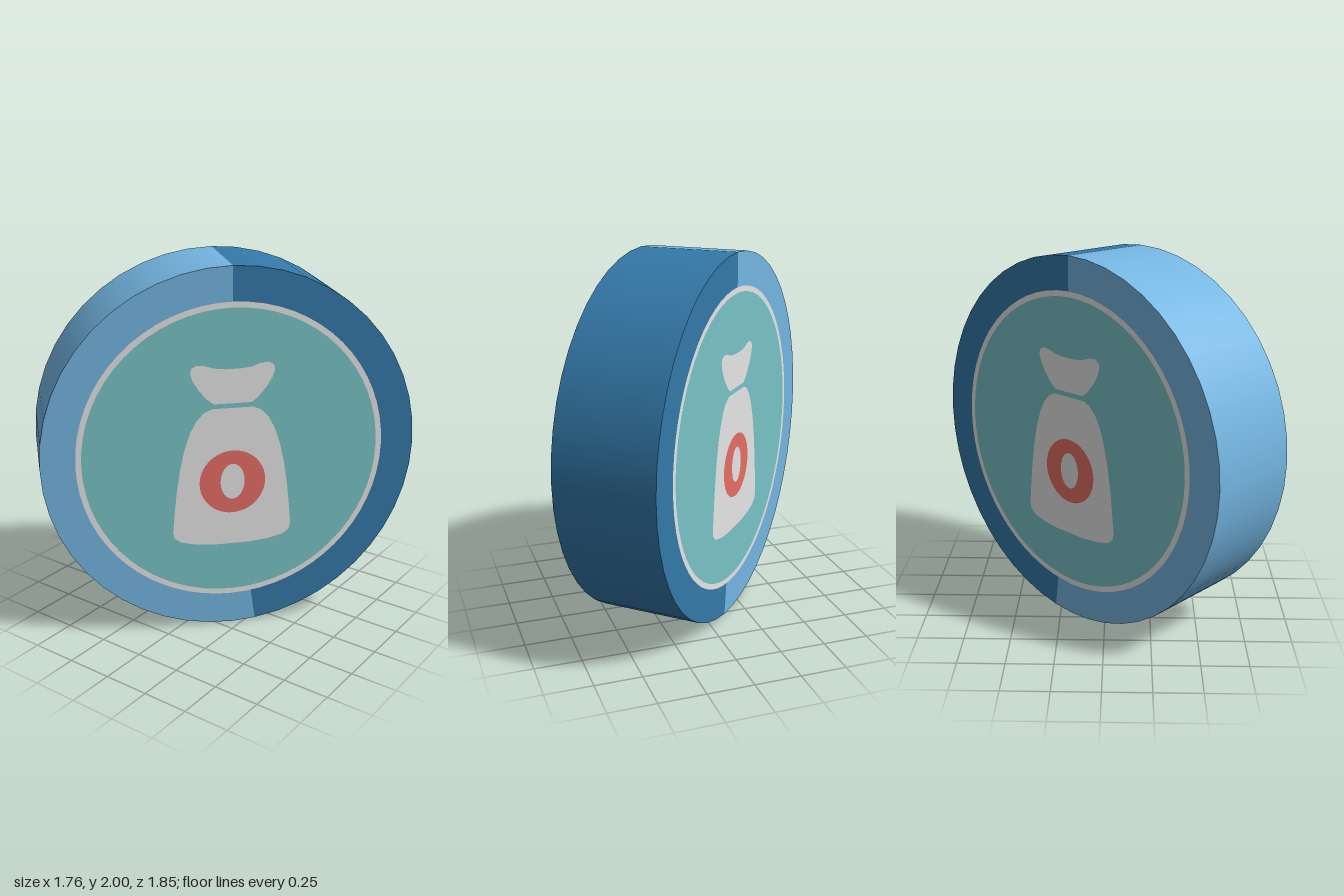
import * as THREE from 'three';

const flat = (name, color) => new THREE.MeshStandardMaterial({ name, color });

export function createModel() {
  const lightBlue = flat('light blue', 0x74b6e2);
  const darkBlue = flat('dark blue', 0x3379a9);
  const teal = flat('teal', 0x79c3c6);
  const white = flat('off white', 0xe6e6e6);
  const red = flat('red', 0xe66e64);

  const RADIUS = 1, DEPTH = 0.55, SIDES = 48;
  const STEP = (Math.PI * 2) / SIDES;

  const token = new THREE.Group();
  token.name = 'token';

  const add = (parent, name, geometry, material, z = 0) => {
    const mesh = new THREE.Mesh(geometry, material);
    mesh.name = name;
    mesh.position.z = z;
    parent.add(mesh);
  };

  // Two-tone body: sectors measured from the bottom, the light one a step wider
  const sector = (first, count) => new THREE.CylinderGeometry(
    RADIUS, RADIUS, DEPTH, count, 1, false, first * STEP, count * STEP).rotateX(Math.PI / 2);
  add(token, 'darkHalf', sector(1, 23), darkBlue);
  add(token, 'lightHalf', sector(24, 25), lightBlue);

  // Symmetric outline from a right-hand half profile, top to bottom
  const mirrored = (half) => {
    const points = half.map(([x, y]) => new THREE.Vector2(x, y));
    const left = half.slice().reverse().map(([x, y]) => new THREE.Vector2(-x, y));
    return new THREE.ShapeGeometry(new THREE.Shape([...points, ...left]));
  };

  // Gathered top of the sack
  const sackTop = mirrored([
    [0.04, 0.473], [0.1, 0.48], [0.15, 0.497], [0.19, 0.5], [0.215, 0.485],
    [0.222, 0.46], [0.21, 0.42], [0.18, 0.37], [0.14, 0.32], [0.1, 0.288],
  ]);

  // Sack with sloping shoulders and a rounded base
  const sackBody = mirrored([
    [0.11, 0.263], [0.15, 0.245], [0.19, 0.205], [0.225, 0.14], [0.255, 0.05],
    [0.28, -0.06], [0.3, -0.19], [0.314, -0.32], [0.323, -0.42], [0.315, -0.455],
    [0.28, -0.482], [0.2, -0.502], [0.1, -0.512],
  ]);

  // Painted faces, the same on both sides
  for (const [name, turn] of [['frontFace', 0], ['backFace', Math.PI]]) {
    const face = new THREE.Group();
    face.name = name;
    face.rotation.y = turn;
    const z = DEPTH / 2;
    add(face, 'border', new THREE.RingGeometry(0.79, 0.82, 64), white, z + 0.002);
    add(face, 'field', new THREE.CircleGeometry(0.79, 64), teal, z + 0.002);
    add(face, 'sackTop', sackTop, white, z + 0.004);
    add(face, 'sackBody', sackBody, white, z + 0.004);
    add(face, 'badge', new THREE.CircleGeometry(0.178, 40).translate(0, -0.15, 0), red, z + 0.006);
    add(face, 'badgeMark',
      new THREE.CircleGeometry(1, 32).scale(0.065, 0.1, 1).translate(0, -0.147, 0), white, z + 0.008);
    token.add(face);
  }

  // Stand the token on its rim, turned towards front left
  token.rotation.y = 0.828;
  token.position.y = RADIUS;

  const model = new THREE.Group();
  model.name = 'moneyToken';
  model.add(token);
  return model;
}
